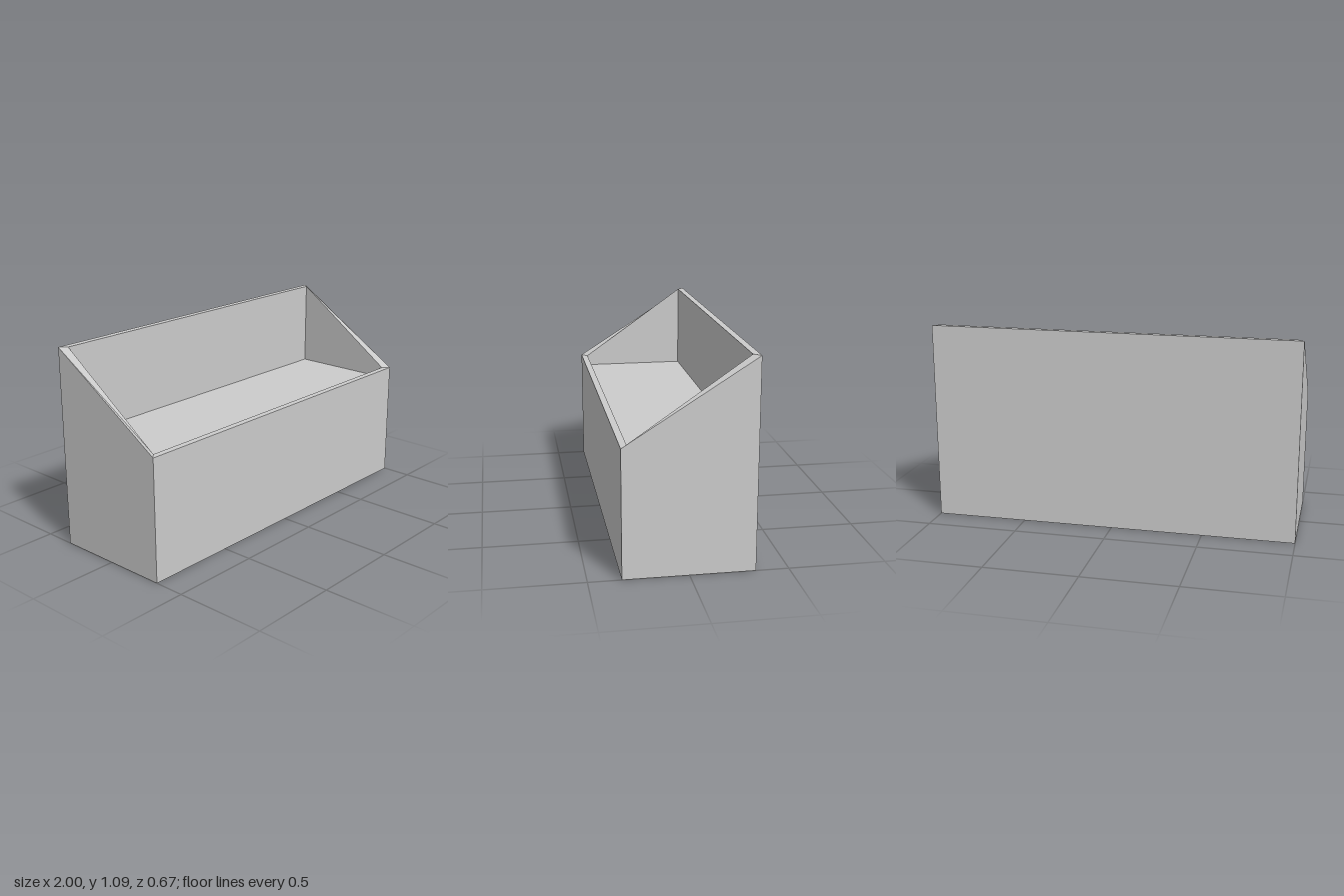
import * as THREE from 'three';

// Four corners, counter-clockwise from above, starting front left on the x axis
const ring = (x, z, front, back) => [
  [-x, front, z], [x, front, z], [x, back, -z], [-x, back, -z],
];

// Band of four quads climbing from ring a to ring b
const band = (a, b) => a.map((p, i) => {
  const j = (i + 1) % 4;
  return [p, a[j], b[j], b[i]];
});

// Flat-shaded mesh from a list of quads
function quadMesh(name, quads, material) {
  const points = quads.flatMap(([a, b, c, d]) => [a, b, c, a, c, d]).flat();
  const geometry = new THREE.BufferGeometry();
  geometry.setAttribute('position', new THREE.Float32BufferAttribute(points, 3));
  geometry.computeVertexNormals();
  const mesh = new THREE.Mesh(geometry, material);
  mesh.name = name;
  return mesh;
}

export function createModel() {
  const group = new THREE.Group();
  group.name = 'slopedPlanter';
  const grey = new THREE.MeshStandardMaterial({ color: 0xcccccc });
  grey.name = 'light grey';

  const base = ring(1, 0.333, 0, 0);
  const outerRim = ring(1, 0.333, 0.665, 1.085);
  const innerRim = ring(0.965, 0.298, 0.665, 1.085);
  const floor = ring(0.965, 0.298, 0.605, 0.605);

  group.add(
    quadMesh('outerWalls', band(base, outerRim), grey),
    quadMesh('rim', band(outerRim, innerRim), grey),
    quadMesh('innerWalls', band(innerRim, floor), grey),
    quadMesh('fillSurface', [floor], grey),
    quadMesh('underside', [[...base].reverse()], grey),
  );
  return group;
}
